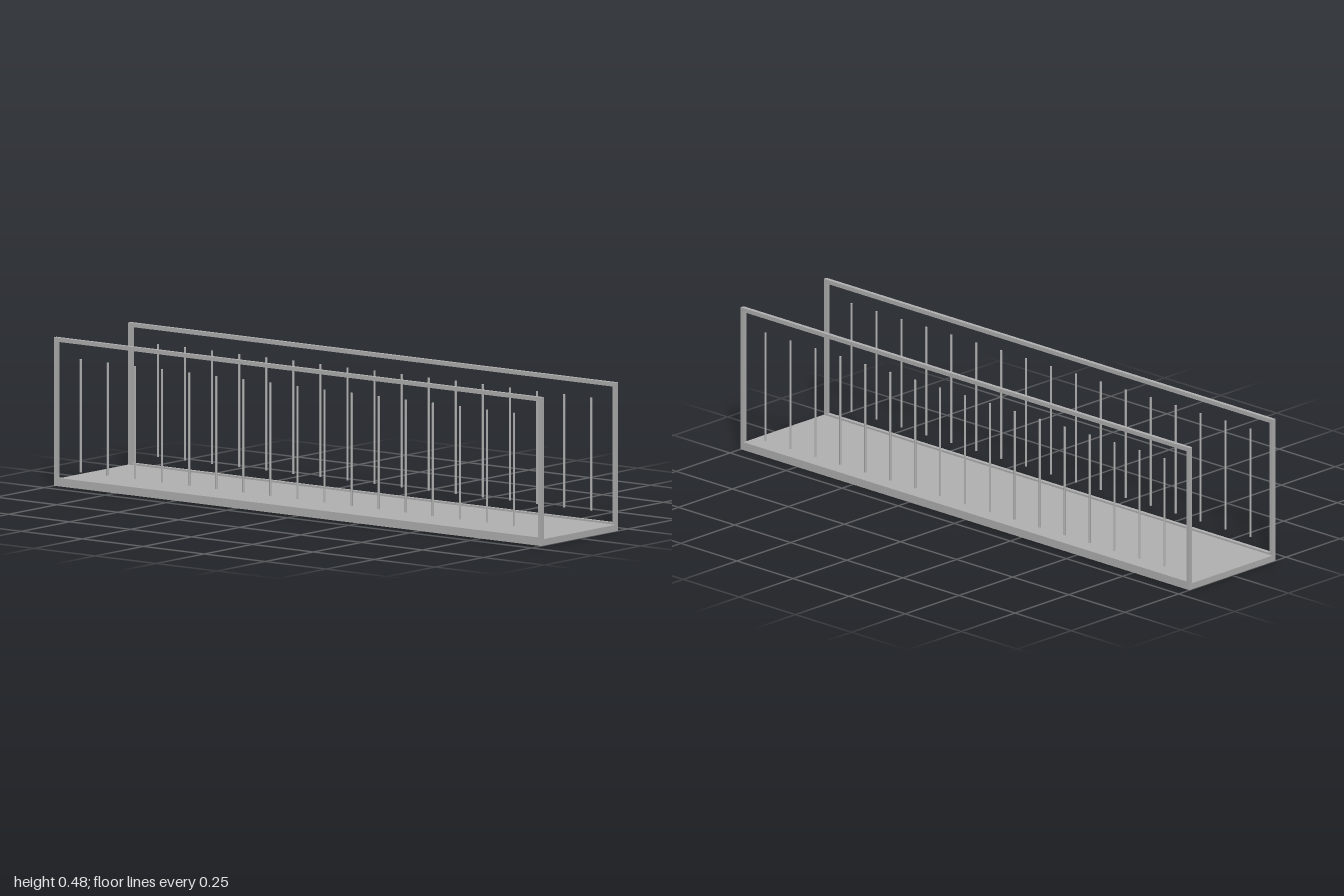
import * as THREE from 'three';

export function createModel() {
  const model = new THREE.Group();
  model.name = 'footbridge';
  const grey = new THREE.MeshStandardMaterial({ color: 0xb2b2b2 });
  grey.name = 'concrete grey';

  const BAR = 0.0135, TOP = 0.484, DECK = 0.021, BASE = 0.0135;

  function box(parent, name, w, h, d, x, y, z) {
    const mesh = new THREE.Mesh(new THREE.BoxGeometry(w, h, d), grey);
    mesh.name = name;
    mesh.position.set(x, y, z);
    parent.add(mesh);
  }

  // Walking deck
  box(model, 'deck', 2, DECK, 0.4, 0, DECK / 2, 0);

  for (const side of [1, -1]) {
    const railing = new THREE.Group();
    railing.name = side > 0 ? 'frontRailing' : 'backRailing';
    model.add(railing);
    const z = side * (0.2 - BAR / 2);

    // Rectangular frame: two rails between two end posts
    box(railing, 'topRail', 2 - 2 * BAR, BAR, BAR, 0, TOP - BAR / 2, z);
    box(railing, 'bottomRail', 2 - 2 * BAR, BAR, BAR, 0, BASE + BAR / 2, z);
    for (const x of [-1, 1]) {
      box(railing, 'endPost', BAR, TOP - BASE, BAR, x * (1 - BAR / 2), (TOP + BASE) / 2, z);
    }

    // Slender balusters, floating between the rails on the outer face
    const rod = new THREE.CylinderGeometry(0.0038, 0.0038, 0.368, 12);
    for (let i = 1; i <= 17; i++) {
      const baluster = new THREE.Mesh(rod, grey);
      baluster.name = 'baluster';
      baluster.position.set(-1 + (2 * i) / 18, 0.239, side * 0.2);
      railing.add(baluster);
    }
  }
  return model;
}
